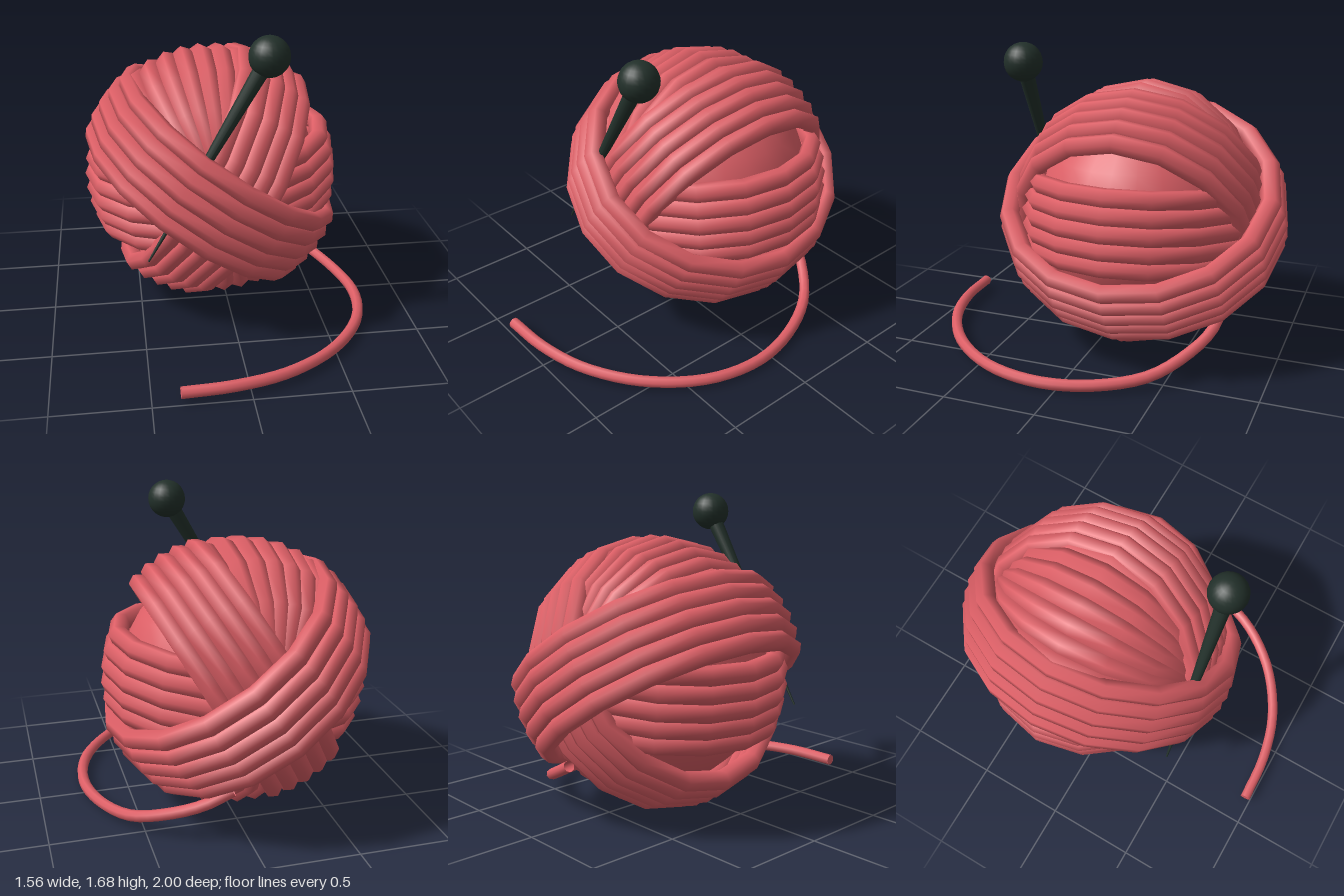
import * as THREE from 'three';

const CENTER = [-0.065, 0.75, -0.195];

export function createModel() {
  const model = new THREE.Group();
  const yarn = new THREE.MeshStandardMaterial({ color: 0xdd5f66, side: THREE.DoubleSide });
  const dark = new THREE.MeshStandardMaterial({ color: 0x22302a });

  const add = (parent, name, geometry, material) => {
    const mesh = new THREE.Mesh(geometry, material);
    mesh.name = name;
    parent.add(mesh);
    return mesh;
  };

  // One strand: a six-sided loop whose plane holds the z axis, pushed sideways, then turned about z
  const strand = (outer, depth, tube, offset, degrees) => {
    const radius = Math.sqrt((outer - tube) ** 2 - offset ** 2);
    return new THREE.TorusGeometry(radius, tube, 6, 16)
      .rotateY(Math.PI / 2)
      .scale(1, 1, depth / outer)
      .translate(offset, 0, 0)
      .rotateZ(THREE.MathUtils.degToRad(degrees - 90));
  };

  const ball = new THREE.Group();
  ball.name = 'yarnBall';
  ball.position.set(...CENTER);
  model.add(ball);

  // Filling behind the gaps
  add(ball, 'core', new THREE.SphereGeometry(0.6, 24, 16).scale(1, 1, 0.96), yarn);

  // Bands of five parallel strands, outermost first
  const bands = [
    { name: 'outerBand', outer: 0.757, depth: 0.808, angle: -35 },
    { name: 'middleBand', outer: 0.747, depth: 0.71, angle: 60 },
    { name: 'innerBand', outer: 0.722, depth: 0.665, angle: 6.5 },
  ];
  for (const { name, outer, depth, angle } of bands) {
    const band = new THREE.Group();
    band.name = name;
    ball.add(band);
    for (let i = -2; i <= 2; i++) {
      add(band, 'strand', strand(outer, depth, 0.053, i * 0.088, angle), yarn);
    }
  }

  // Bottom layer: strands fanned about the z axis
  const fan = new THREE.Group();
  fan.name = 'fannedLayer';
  ball.add(fan);
  for (let i = 0; i < 8; i++) {
    add(fan, 'strand', strand(0.735, 0.645, 0.06, 0, 68 + i * 8.6), yarn);
  }

  // Loose end, running out from under the ball and round to the front
  const path = new THREE.CatmullRomCurve3([
    [0.08, 0.29, -0.7], [0.22, 0.22, -0.68], [0.38, 0.15, -0.6], [0.56, 0.075, -0.44],
    [0.69, 0.04, -0.18], [0.742, 0.035, 0.1], [0.68, 0.04, 0.4], [0.48, 0.047, 0.68],
    [0.2, 0.055, 0.87], [-0.08, 0.06, 0.95], [-0.355, 0.057, 0.967],
  ].map((p) => new THREE.Vector3(...p)));
  add(model, 'looseEnd', new THREE.TubeGeometry(path, 40, 0.031, 8), yarn);
  const cap = add(model, 'looseEndCap', new THREE.CircleGeometry(0.031, 8), yarn);
  cap.position.copy(path.getPoint(1));
  cap.lookAt(cap.position.clone().add(path.getTangent(1)));

  // Knitting needle: tapered shaft and round head
  const head = new THREE.Vector3(0.155, 1.58, 0.415);
  const tip = new THREE.Vector3(-0.47, 0.52, 0.465);
  const axis = head.clone().sub(tip);
  const shaft = add(model, 'needleShaft', new THREE.CylinderGeometry(0.046, 0.005, axis.length(), 12), dark);
  shaft.position.copy(head).add(tip).multiplyScalar(0.5);
  shaft.quaternion.setFromUnitVectors(new THREE.Vector3(0, 1, 0), axis.normalize());
  add(model, 'needleHead', new THREE.SphereGeometry(0.105, 20, 14), dark).position.copy(head);

  return model;
}
